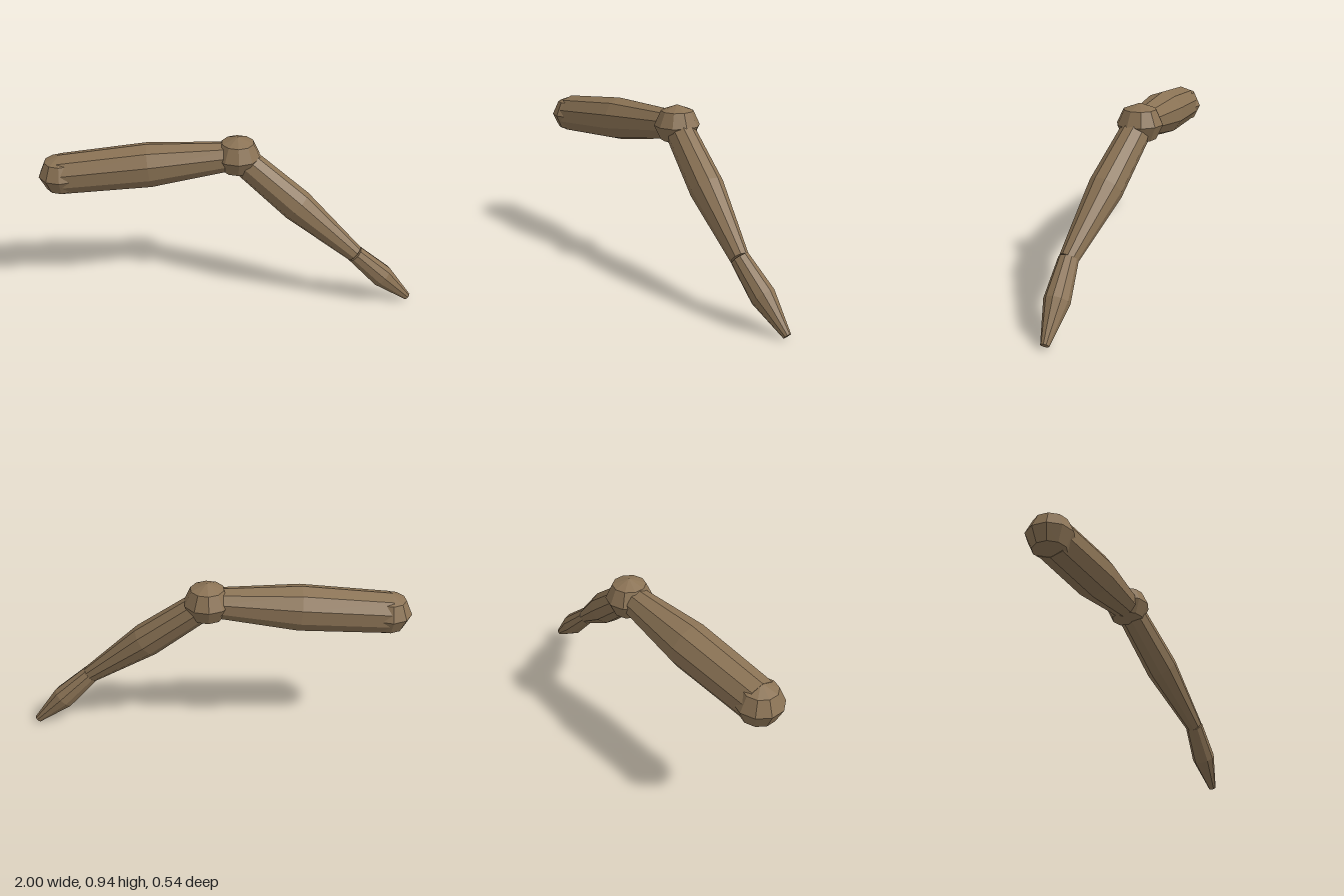
import * as THREE from 'three';

const SIDES = 10;

export function createModel() {
  const group = new THREE.Group();
  group.name = 'jointedLeg';
  const shell = new THREE.MeshStandardMaterial({ color: 0x8b7355, flatShading: true });
  shell.name = 'brownShell';

  const hip = new THREE.Vector3(-0.877, 0.743, 0.153);
  const knee = new THREE.Vector3(0.02, 0.837, -0.128);
  const ankle = new THREE.Vector3(0.68, 0.312, -0.157);
  const tip = new THREE.Vector3(0.985, 0.017, -0.25);

  // Faceted, slightly flattened ball joint
  function addJoint(name, centre) {
    const geometry = new THREE.SphereGeometry(0.123, SIDES, 4);
    geometry.scale(1, 0.89, 1);
    const mesh = new THREE.Mesh(geometry, shell);
    mesh.name = name;
    mesh.position.copy(centre);
    group.add(mesh);
  }

  // Capped limb segment that swells at its middle
  function addSegment(name, from, to, startRadius, midRadius, endRadius) {
    const axis = to.clone().sub(from);
    const length = axis.length();
    const profile = [
      [0, 0], [startRadius, 0], [midRadius, length / 2], [endRadius, length], [0, length],
    ].map(([r, y]) => new THREE.Vector2(r, y));
    const mesh = new THREE.Mesh(new THREE.LatheGeometry(profile, SIDES), shell);
    mesh.name = name;
    mesh.position.copy(from);
    mesh.quaternion.setFromUnitVectors(new THREE.Vector3(0, 1, 0), axis.normalize());
    group.add(mesh);
  }

  addJoint('hipJoint', hip);
  addSegment('upperLeg', hip, knee, 0.11, 0.121, 0.075);
  addJoint('kneeJoint', knee);
  addSegment('lowerLeg', knee, ankle, 0.078, 0.091, 0.048);
  addSegment('foot', ankle, tip, 0.05, 0.065, 0.021);

  return group;
}
